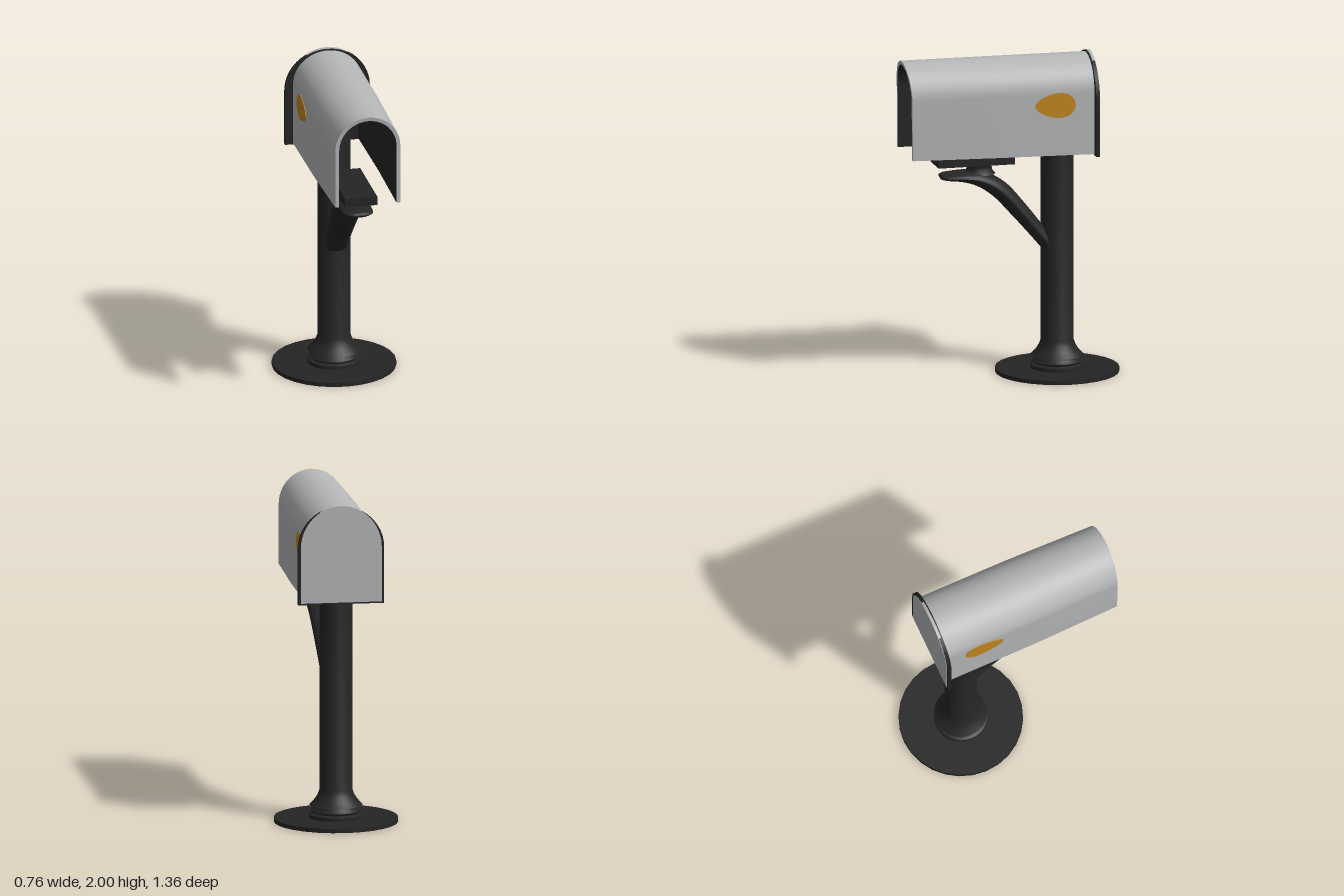
import * as THREE from 'three';
import { toCreasedNormals } from 'three/addons/utils/BufferGeometryUtils.js';

const mat = (name, color, side = THREE.FrontSide) => {
  const m = new THREE.MeshStandardMaterial({ color, side });
  m.name = name;
  return m;
};

// Surface through rows of points
function loft(rows) {
  const n = rows[0].length, index = [];
  for (let i = 0; i < rows.length - 1; i++)
    for (let j = 0; j < n - 1; j++) {
      const a = i * n + j, b = a + n;
      index.push(a, b, a + 1, b, b + 1, a + 1);
    }
  const g = new THREE.BufferGeometry().setFromPoints(rows.flat());
  g.setIndex(index);
  g.computeVertexNormals();
  return g;
}

// Round-topped outline, from one lower corner over the top to the other
function arch(w, bottom, spring, top, n = 24) {
  const pts = [new THREE.Vector2(w, bottom)];
  for (let i = 0; i <= n; i++) {
    const a = (i / n) * Math.PI;
    pts.push(new THREE.Vector2(w * Math.cos(a), spring + (top - spring) * Math.sin(a)));
  }
  pts.push(new THREE.Vector2(-w, bottom));
  return pts;
}

// One arched section of the box wall: t = 0 at the back, 1 at the open front
const BACK = -0.485;
function section(t, inset) {
  const z0 = BACK + t * (0.655 - BACK);
  const w = 0.215 - 0.012 * Math.max(0, (z0 - 0.1) / 0.55) - inset;
  return arch(w, 1.398 + 0.017 * t, 1.785, 1.988 + 0.007 * t - inset).map((p) => {
    const lip = 0.022 * Math.max(0, (p.y - 1.7) / 0.3) ** 2;
    return new THREE.Vector3(p.x, p.y, z0 + lip * t ** 4);
  });
}

export function createModel() {
  const group = new THREE.Group();
  const black = mat('black metal', 0x252525);
  const blackSheet = mat('black sheet', 0x252525, THREE.DoubleSide);
  blackSheet.color = black.color;
  const silver = mat('silver metal', 0xb4b6b8, THREE.DoubleSide);
  const amber = mat('amber reflector', 0xc28822);

  const add = (name, geometry, material, x = 0, y = 0, z = 0) => {
    const m = new THREE.Mesh(geometry, material);
    m.name = name;
    m.position.set(x, y, z);
    group.add(m);
    return m;
  };

  // Ground plate and turned post
  add('basePlate', new THREE.CylinderGeometry(0.38, 0.38, 0.026, 28), black, 0, 0.013, -0.3);
  const profile = [
    [0.165, 0.02], [0.165, 0.048], [0.145, 0.058], [0.153, 0.07], [0.135, 0.085], [0.13, 0.098],
    [0.162, 0.104], [0.13, 0.138], [0.112, 0.168], [0.1, 0.2], [0.1, 1.78], [0, 1.78],
  ].map(([x, y]) => new THREE.Vector2(x, y));
  add('post', toCreasedNormals(new THREE.LatheGeometry(profile, 32), 0.6), black, 0, 0, -0.3);

  // Arched box: outer skin, dark lining, front rim and lower edges
  const ts = Array.from({ length: 13 }, (_, i) => i / 12);
  const outer = ts.map((t) => section(t, 0));
  const inner = ts.map((t) => section(t, 0.024));
  const last = outer[0].length - 1;
  add('boxShell', loft(outer), silver);
  add('boxLining', loft(inner), blackSheet);
  add('frontRim', loft([outer[12], inner[12]]), silver);
  for (const k of [0, last])
    add('lowerEdge', loft([outer.map((r) => r[k]), inner.map((r) => r[k])]), blackSheet);

  // Back flange and inset panel
  const slab = (w, bottom, top, depth) => toCreasedNormals(
    new THREE.ExtrudeGeometry(new THREE.Shape(arch(w, bottom, 1.74, top)), { depth, bevelEnabled: false }), 0.6);
  add('backFlange', slab(0.265, 1.39, 1.995, 0.023), black, 0, 0, -0.505);
  add('backPanel', slab(0.25, 1.4, 2.0, 0.018), silver, 0, 0, -0.508);

  // Egg-shaped reflectors on both sides
  const egg = [];
  for (let i = 0; i < 32; i++) {
    const a = (i / 32) * Math.PI * 2;
    egg.push(new THREE.Vector2(0.238 + 0.126 * Math.cos(a), 1.716 + 0.076 * Math.sin(a) * (1 + 0.22 * Math.cos(a))));
  }
  for (const s of [1, -1]) {
    const g = new THREE.ExtrudeGeometry(new THREE.Shape(egg), { depth: 0.006, bevelEnabled: false });
    g.rotateY(Math.PI / 2);
    add('reflector', g, amber, s > 0 ? 0.213 : -0.219);
  }

  // Support plate and its neck
  add('supportPlate', new THREE.BoxGeometry(0.2, 0.056, 0.48), black, 0, 1.362, 0.23);
  const neck = new THREE.LatheGeometry(
    [[0.1, 0], [0.08, 0.025], [0.078, 0.05], [0.095, 0.075]].map(([x, y]) => new THREE.Vector2(x, y)), 24);
  neck.scale(0.75, 1, 1);
  add('supportNeck', neck, blackSheet, 0, 1.265, 0.19);

  // Curved arm: centre z, y, half thickness, half width
  const arm = [
    [0.437, 1.258, 0.001, 0.03], [0.43, 1.258, 0.014, 0.06], [0.4, 1.258, 0.021, 0.09], [0.3, 1.256, 0.033, 0.1],
    [0.19, 1.236, 0.049, 0.1], [0.07, 1.165, 0.056, 0.096], [-0.05, 1.035, 0.054, 0.085],
    [-0.14, 0.927, 0.05, 0.076], [-0.26, 0.78, 0.046, 0.07],
  ];
  const path = new THREE.CatmullRomCurve3(arm.map(([z, y]) => new THREE.Vector3(0, y, z)));
  const size = new THREE.CatmullRomCurve3(arm.map(([, , h, w]) => new THREE.Vector3(w, h, 0)));
  const rows = [];
  for (let i = 0; i <= 32; i++) {
    const c = path.getPoint(i / 32), d = path.getTangent(i / 32), r = size.getPoint(i / 32);
    rows.push(Array.from({ length: 21 }, (_, j) => {
      const a = (j / 20) * Math.PI * 2;
      const k = r.y * Math.sin(a);
      return new THREE.Vector3(r.x * Math.cos(a), c.y - d.z * k, c.z + d.y * k);
    }));
  }
  add('supportArm', loft(rows), blackSheet);

  return group;
}
